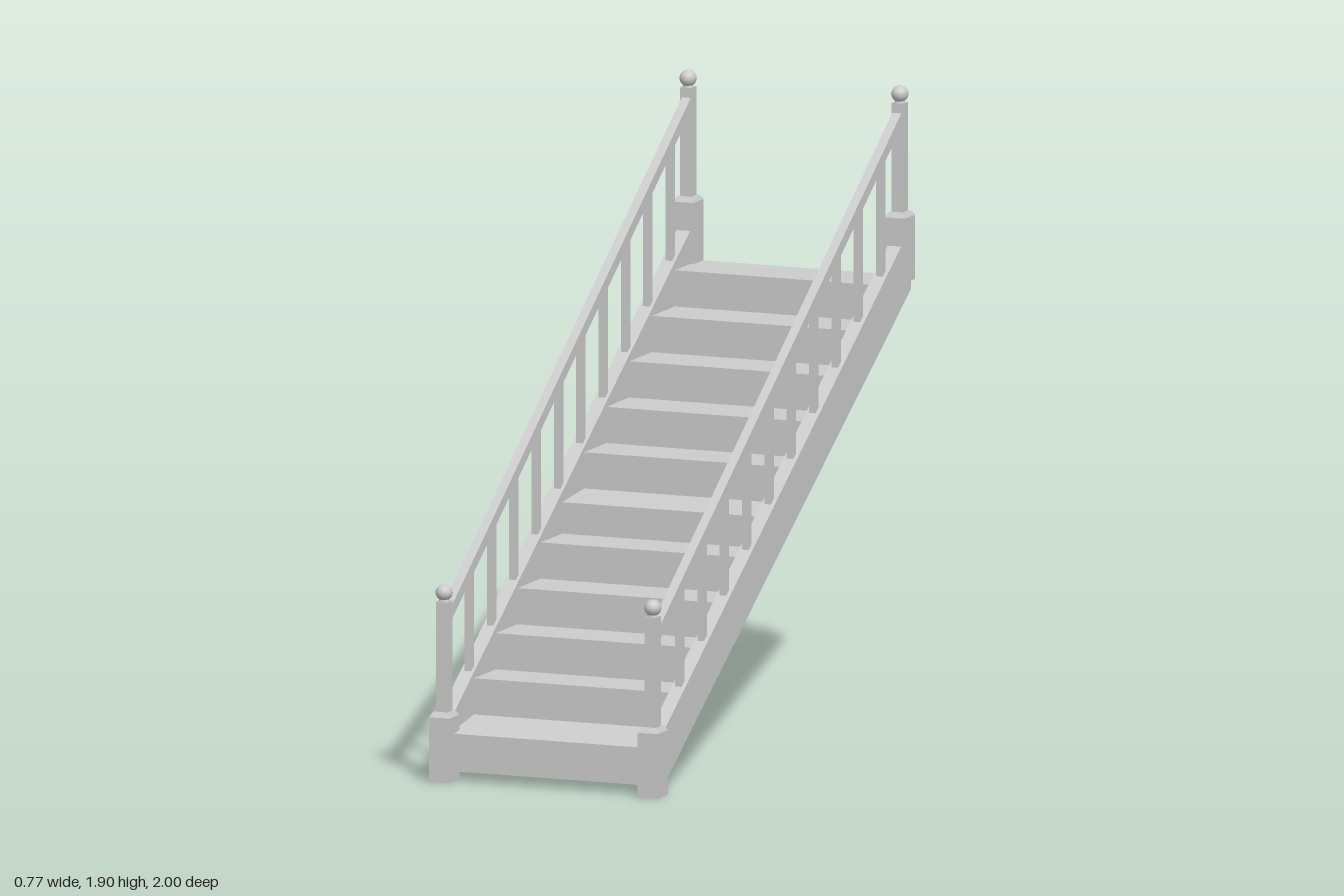
import * as THREE from 'three';

const material = new THREE.MeshStandardMaterial({ color: 0xcccccc, flatShading: true });
const smooth = new THREE.MeshStandardMaterial({ color: 0xcccccc });

function add(parent, name, geometry, x = 0, y = 0, z = 0, mat = material) {
  const mesh = new THREE.Mesh(geometry, mat);
  mesh.name = name;
  mesh.position.set(x, y, z);
  parent.add(mesh);
  return mesh;
}

// Side profile given as [z, y] points, extruded across x and centred
function sideExtrude(points, width) {
  const shape = new THREE.Shape(points.map(([z, y]) => new THREE.Vector2(z, y)));
  return new THREE.ExtrudeGeometry(shape, { depth: width, bevelEnabled: false })
    .translate(0, 0, -width / 2)
    .rotateY(-Math.PI / 2);
}

// Square frustum used for the shoulders of the posts
function frustum(top, bottom, height) {
  return new THREE.CylinderGeometry(top * Math.SQRT1_2, bottom * Math.SQRT1_2, height, 4)
    .rotateY(Math.PI / 4);
}

function newelPost(name, x, z, bottom, baseTop, top) {
  const post = new THREE.Group();
  post.name = name;
  post.position.set(x, 0, z);
  const h = baseTop - bottom - 0.015;
  add(post, 'postBase', new THREE.BoxGeometry(0.068, h, 0.08), 0, bottom + h / 2, 0);
  add(post, 'postShoulder', frustum(1, 1.35, 0.015).scale(0.05, 1, 0.059),
    0, baseTop - 0.0075, 0);
  add(post, 'postShaft', new THREE.BoxGeometry(0.038, top - baseTop + 0.01, 0.038),
    0, (top + baseTop - 0.01) / 2, 0);
  add(post, 'postNeck', new THREE.CylinderGeometry(0.014, 0.018, 0.02, 12), 0, top + 0.005, 0);
  add(post, 'postBall', new THREE.SphereGeometry(0.029, 16, 12).scale(0.9, 0.9, 1),
    0, top + 0.027, 0, smooth);
  return post;
}

export function createModel() {
  const model = new THREE.Group();
  model.name = 'staircase';

  // Solid flight of steps with a flat sloping underside
  const risers = [0.96, 0.77, 0.6, 0.43, 0.25, 0.08, -0.09, -0.265, -0.445, -0.62, -0.8, -0.995];
  const profile = [[0.96, 0.03]];
  for (let i = 0; i < 11; i++) {
    const y = 0.175 + i * 0.1125;
    const droop = i === 0 ? 0.028 : i === 5 ? 0.015 : 0;
    profile.push([risers[i], y - droop], [risers[i + 1], y]);
  }
  profile.push([-0.995, 1.27]);
  add(model, 'steps', sideExtrude(profile, 0.67));

  const stringer = [[0.95, 0.022], [0.95, 0.19], [-0.95, 1.422], [-0.995, 1.422], [-0.995, 1.257]];
  const rail = [[0.955, 0.477], [0.955, 0.52], [-0.955, 1.822], [-0.955, 1.779]];

  for (const side of [1, -1]) {
    const half = new THREE.Group();
    half.name = side > 0 ? 'leftSide' : 'rightSide';
    model.add(half);

    add(half, 'stringer', sideExtrude(stringer, 0.045), side * 0.351);
    add(half, 'handrail', sideExtrude(rail, 0.03), side * 0.35);

    // Balusters between stringer and handrail
    for (let i = 0; i < 10; i++) {
      const z = 0.757 - i * 0.1747;
      const low = 0.795 - 0.648 * z;
      const high = 1.14 - 0.682 * z;
      add(half, 'baluster', new THREE.BoxGeometry(0.022, high - low, 0.022),
        side * 0.35, (low + high) / 2, z);
    }

    half.add(newelPost('bottomPost', side * 0.347, 0.96, 0, 0.215, 0.557));
    half.add(newelPost('topPost', side * 0.352, -0.96, 1.29, 1.505, 1.843));
  }
  return model;
}
